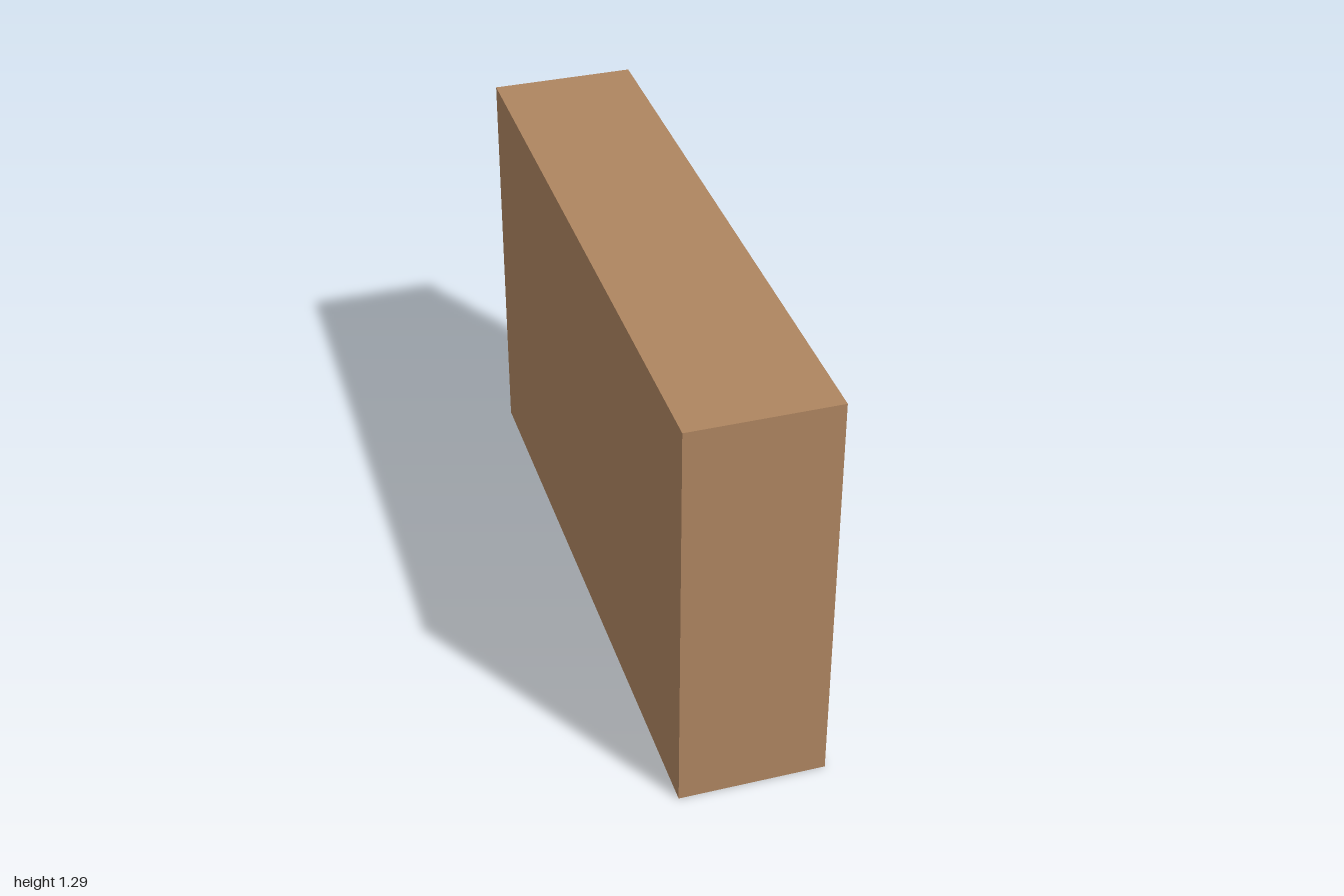
import * as THREE from 'three';

export function createModel() {
  const group = new THREE.Group();
  group.name = 'bookcase';
  const wood = new THREE.MeshStandardMaterial({ color: 0xae8560 });
  wood.name = 'wood';

  const depth = 0.446, height = 1.29, length = 2;
  const side = 0.012, board = 0.006;

  function panel(name, sx, sy, sz, x, y, z) {
    const mesh = new THREE.Mesh(new THREE.BoxGeometry(sx, sy, sz), wood);
    mesh.name = name;
    mesh.position.set(x, y, z);
    group.add(mesh);
  }

  // End panels
  for (const s of [1, -1]) {
    panel(s > 0 ? 'frontEndPanel' : 'backEndPanel', depth, height, side, 0, height / 2, s * (length - side) / 2);
  }

  // Closed long side; the other long side stays open
  const inner = length - 2 * side;
  panel('backing', board, height, inner, (board - depth) / 2, height / 2, 0);

  // Bottom, two shelves and top, evenly spaced
  const names = ['bottomBoard', 'lowerShelf', 'upperShelf', 'topBoard'];
  names.forEach((name, i) => {
    const y = board / 2 + i * (height - board) / 3;
    panel(name, depth - board, board, inner, board / 2, y, 0);
  });

  return group;
}
